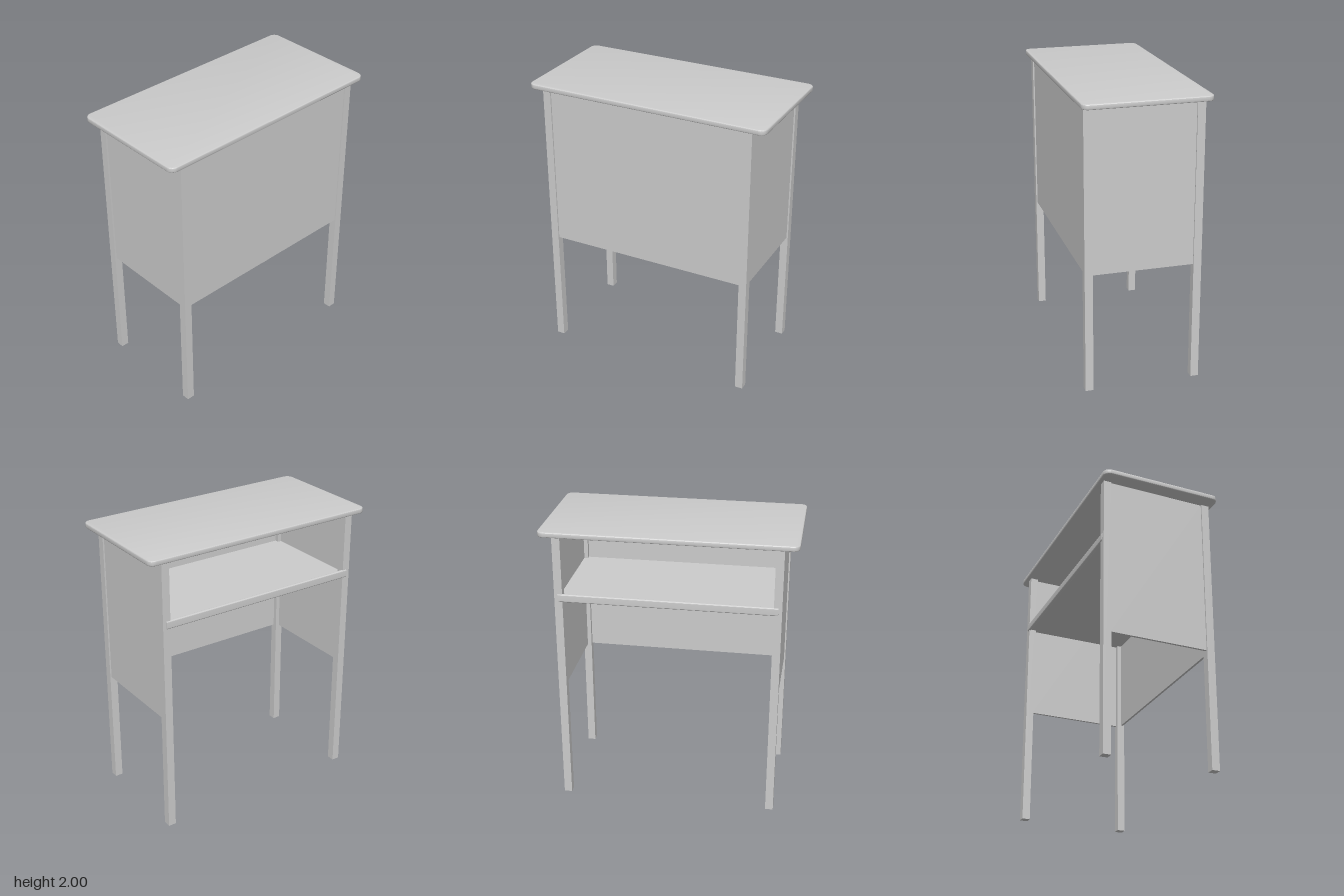
import * as THREE from 'three';
import { toCreasedNormals } from 'three/addons/utils/BufferGeometryUtils.js';

const material = new THREE.MeshStandardMaterial({ color: 0xcccccc });

function addMesh(parent, name, geometry, x = 0, y = 0, z = 0) {
  const mesh = new THREE.Mesh(geometry, material);
  mesh.name = name;
  mesh.position.set(x, y, z);
  parent.add(mesh);
  return mesh;
}

// Rectangle with rounded corners, centred on the origin
function roundedRect(w, d, r) {
  const s = new THREE.Shape();
  const x = w / 2, y = d / 2;
  s.absarc(x - r, y - r, r, 0, Math.PI / 2);
  s.absarc(-x + r, y - r, r, Math.PI / 2, Math.PI);
  s.absarc(-x + r, -y + r, r, Math.PI, Math.PI * 1.5);
  s.absarc(x - r, -y + r, r, Math.PI * 1.5, Math.PI * 2);
  s.closePath();
  return s;
}

export function createModel() {
  const model = new THREE.Group();
  model.name = 'lectern';

  // Table top: rounded corners and softened rims
  const topHeight = 0.035, bevel = 0.006;
  const topGeometry = new THREE.ExtrudeGeometry(
    roundedRect(1.71 - 2 * bevel, 0.856 - 2 * bevel, 0.04),
    { depth: topHeight - 2 * bevel, bevelEnabled: true, bevelThickness: bevel,
      bevelSize: bevel, bevelSegments: 3, curveSegments: 8 });
  topGeometry.rotateX(-Math.PI / 2);
  addMesh(model, 'tableTop', toCreasedNormals(topGeometry, 0.7), 0, 2 - topHeight + bevel, 0);

  // Four square legs
  const legSize = 0.055, legHeight = 2 - topHeight;
  const legX = 0.7325, legZ = 0.3725;
  const legGeometry = new THREE.BoxGeometry(legSize, legHeight, legSize);
  for (const sx of [-1, 1]) {
    for (const sz of [-1, 1]) {
      addMesh(model, `${sz > 0 ? 'front' : 'back'}${sx > 0 ? 'Left' : 'Right'}Leg`,
        legGeometry, sx * legX, legHeight / 2, sz * legZ);
    }
  }

  // Front and side panels, set in a little from the outer leg faces
  const panelBottom = 0.835, panelHeight = legHeight - panelBottom, thickness = 0.016;
  const panelY = panelBottom + panelHeight / 2;
  addMesh(model, 'frontPanel',
    new THREE.BoxGeometry(2 * legX - legSize, panelHeight, thickness), 0, panelY, 0.382);
  for (const sx of [-1, 1]) {
    addMesh(model, sx > 0 ? 'leftPanel' : 'rightPanel',
      new THREE.BoxGeometry(thickness, panelHeight, 2 * legZ - legSize), sx * 0.742, panelY, 0);
  }

  // Inner shelf, open towards the back
  const shelfBack = -0.39, shelfFront = 0.378;
  addMesh(model, 'shelf',
    new THREE.BoxGeometry(1.47, 0.02, shelfFront - shelfBack),
    0, 1.523, (shelfFront + shelfBack) / 2);

  // Rounded lip along the rear edge of the shelf
  const lipGeometry = new THREE.ExtrudeGeometry(roundedRect(0.022, 0.056, 0.009),
    { depth: 1.47, bevelEnabled: false, curveSegments: 6 });
  lipGeometry.translate(0, 0, -0.735);
  lipGeometry.rotateY(Math.PI / 2);
  addMesh(model, 'shelfLip', toCreasedNormals(lipGeometry, 0.7), 0, 1.534, -0.394);

  return model;
}
